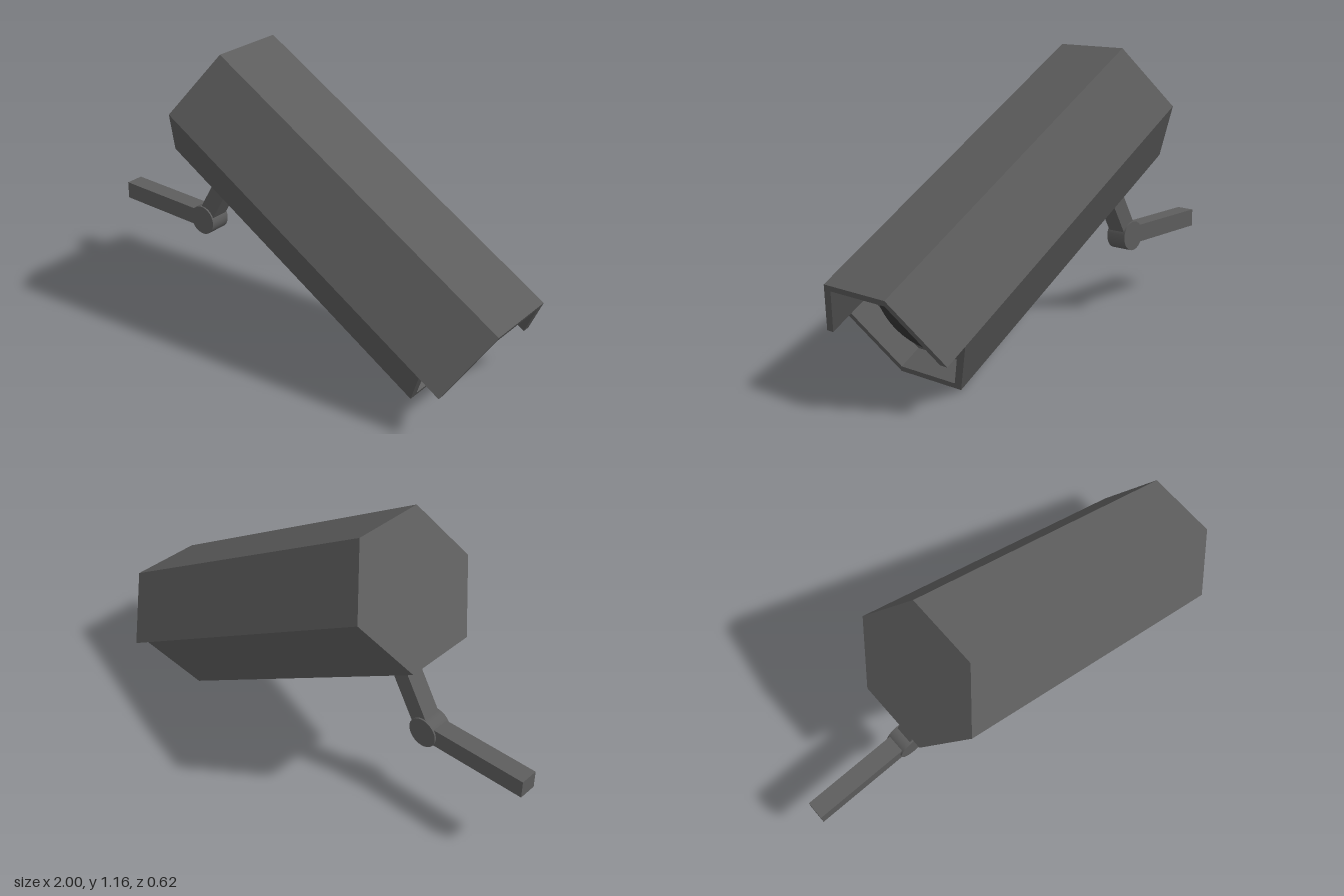
import * as THREE from 'three';

const R = 0.31;        // outer hexagon radius
const RI = 0.276;      // inner hexagon radius
const PLATE = 1.295;   // distance from the back to the recessed lens plate
const LOWER = 1.395;   // length of the lower half
const UPPER = 1.496;   // length of the upper half with its hood

const casing = new THREE.MeshStandardMaterial({ color: 0x5d5d5d });
const glass = new THREE.MeshStandardMaterial({ color: 0x353535 });

function add(parent, name, geometry, material = casing) {
  const mesh = new THREE.Mesh(geometry, material);
  mesh.name = name;
  parent.add(mesh);
  return mesh;
}

// Hexagon corners from index a to index b, 60 degrees apart
function hexPoints(radius, a, b) {
  const points = [];
  for (let i = a; i <= b; i++) {
    const t = (i * Math.PI) / 3;
    points.push(new THREE.Vector2(radius * Math.cos(t), radius * Math.sin(t)));
  }
  return points;
}

// Extrudes an outline along +x, from start to end
function prism(points, start, end) {
  const geometry = new THREE.ExtrudeGeometry(new THREE.Shape(points), {
    depth: end - start, bevelEnabled: false,
  });
  return geometry.rotateY(Math.PI / 2).translate(start, 0, 0);
}

// Half of a hexagonal tube wall: first = 0 is the upper half, 3 the lower
function halfRing(first) {
  return [...hexPoints(R, first, first + 3), ...hexPoints(RI, first, first + 3).reverse()];
}

export function createModel() {
  const model = new THREE.Group();
  model.name = 'securityCamera';

  // Tilted housing, with its axis along local x and its origin at the back
  const housing = new THREE.Group();
  housing.name = 'housing';
  housing.position.set(-0.431, 0.931, 0);
  housing.rotation.z = -Math.PI / 6;
  model.add(housing);

  add(housing, 'body', prism(hexPoints(R, 0, 5), 0, PLATE));
  add(housing, 'hood', prism(halfRing(0), PLATE, UPPER));
  add(housing, 'lowerRim', prism(halfRing(3), PLATE, LOWER));

  // Flattened dome lens on the recessed plate
  const dome = new THREE.SphereGeometry(0.19, 40, 12, 0, Math.PI * 2, 0, Math.PI / 2);
  dome.scale(1, 0.45, 1).rotateZ(-Math.PI / 2);
  add(housing, 'lens', dome, glass).position.x = PLATE;

  // Mounting arm: pivot, strut to the housing, and bar to the wall
  const mount = new THREE.Group();
  mount.name = 'mount';
  mount.position.set(-0.536, 0.336, 0);
  model.add(mount);

  add(mount, 'pivot', new THREE.CylinderGeometry(0.063, 0.063, 0.092, 32).rotateX(Math.PI / 2));
  add(mount, 'upperStrut', new THREE.BoxGeometry(0.075, 0.32, 0.078).translate(0, 0.16, 0))
    .rotation.z = -Math.PI / 6;
  add(mount, 'wallBar', new THREE.BoxGeometry(0.464, 0.075, 0.078).translate(-0.232, 0, 0));

  return model;
}
